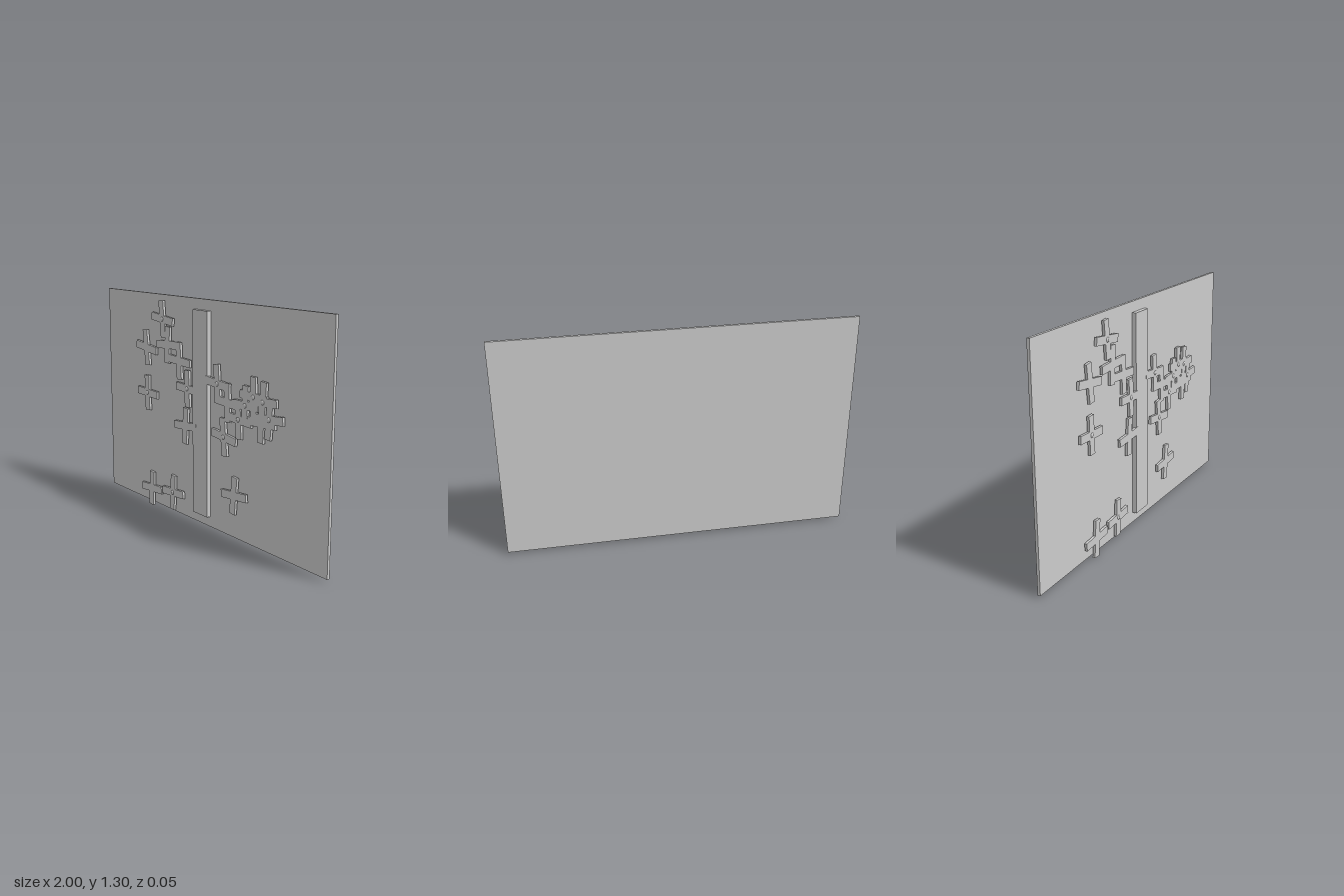
import * as THREE from 'three';

// [x, y, lean of the arms in degrees, has a centre bead]
const BLOSSOMS = [
  [-0.37, 1.165, 6, 1], [-0.54, 0.98, 7, 0], [-0.535, 0.705, 2, 1],
  [-0.32, 1.02, -3, 0], [-0.205, 0.94, 3, 0], [-0.125, 0.79, 2, 1],
  [-0.145, 0.57, -4, 0], [-0.5, 0.109, -4, 0], [-0.275, 0.137, -4, 1],
  [0.30, 0.265, -5, 0], [0.152, 0.86, 5, 1], [0.21, 0.575, 6, 1],
  [0.24, 0.77, 3, 0], [0.335, 0.695, 3, 1], [0.39, 0.78, -3, 1],
  [0.455, 0.835, 2, 1], [0.53, 0.82, -4, 1], [0.58, 0.738, -5, 1],
  [0.52, 0.71, -3, 0],
];

export function createModel() {
  const model = new THREE.Group();
  const material = new THREE.MeshStandardMaterial({ color: 0xcccccc });

  function add(parent, name, geometry, x, y, z, turn = 0) {
    const mesh = new THREE.Mesh(geometry, material);
    mesh.name = name;
    mesh.position.set(x, y, z);
    mesh.rotation.z = THREE.MathUtils.degToRad(turn);
    parent.add(mesh);
  }

  // Backing panel and upright trunk
  add(model, 'panel', new THREE.BoxGeometry(2, 1.29, 0.016), 0, 0.66, -0.016);
  add(model, 'trunk', new THREE.BoxGeometry(0.135, 1.17, 0.025), -0.002, 0.66, 0.0045);

  // Cross-shaped blossoms, some with a round bead in the middle
  const acrossGeometry = new THREE.BoxGeometry(0.213, 0.045, 0.015);
  const uprightGeometry = new THREE.BoxGeometry(0.045, 0.213, 0.015);
  const beadGeometry = new THREE.SphereGeometry(0.018, 16, 12);
  for (const [x, y, lean, bead] of BLOSSOMS) {
    const blossom = new THREE.Group();
    blossom.name = 'blossom';
    blossom.position.set(x, y, 0.0105);
    add(blossom, 'petalsAcross', acrossGeometry, 0, 0, 0, -lean);
    add(blossom, 'petalsUpright', uprightGeometry, 0, 0, 0, lean);
    if (bead) add(blossom, 'bead', beadGeometry, 0, 0, -0.0045);
    model.add(blossom);
  }
  return model;
}
